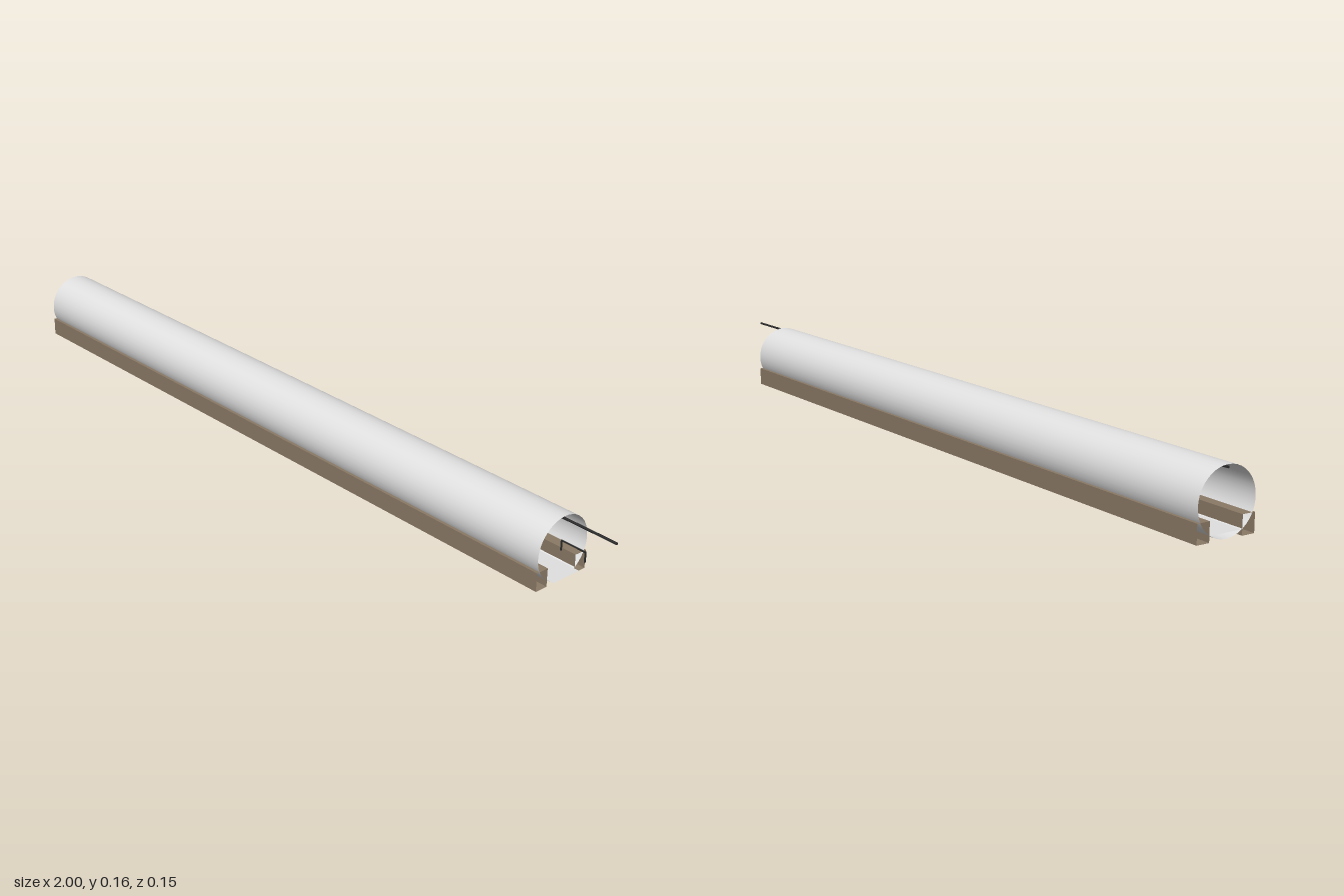
import * as THREE from 'three';

const LEFT = -1, RIGHT = 0.86, LENGTH = RIGHT - LEFT, MID = (LEFT + RIGHT) / 2;
const R = 0.077;

function material(name, color, side = THREE.DoubleSide) {
  const m = new THREE.MeshStandardMaterial({ color, side });
  m.name = name;
  return m;
}

export function createModel() {
  const group = new THREE.Group();
  const shellGrey = material('shell grey', 0xe0e0e0);
  const railBrown = material('rail brown', 0x8b7966);
  const metalDark = material('dark metal', 0x2c2c2c);

  const add = (name, geometry, mat, x, y, z) => {
    const mesh = new THREE.Mesh(geometry, mat);
    mesh.name = name;
    mesh.position.set(x, y, z);
    group.add(mesh);
    return mesh;
  };

  // open, paper-thin tube along x
  const tube = new THREE.CylinderGeometry(R, R, LENGTH, 40, 1, true).rotateZ(Math.PI / 2);
  add('tubeShell', tube, shellGrey, MID, R + 0.001, 0);

  // floor strip between the rails, a little longer than the tube
  const floor = new THREE.PlaneGeometry(0.875 - LEFT, 0.08).rotateX(-Math.PI / 2);
  add('floorStrip', floor, shellGrey, (0.875 + LEFT) / 2, 0.014, 0);

  // hollow rails, open at both ends
  const railHeight = 0.045, railDepth = 0.033;
  for (const side of [-1, 1]) {
    const box = new THREE.BoxGeometry(LENGTH, railHeight, railDepth);
    box.setIndex(Array.from(box.index.array).slice(12)); // drop both end faces
    box.clearGroups();
    add(side > 0 ? 'frontRail' : 'backRail', box, railBrown,
      MID, railHeight / 2, side * (R - railDepth / 2));
  }

  // wire under the crown of the tube, reaching past its end
  const wire = new THREE.CylinderGeometry(0.003, 0.003, 2, 8).rotateZ(Math.PI / 2);
  add('topWire', wire, metalDark, 0, 0.149, 0);

  // hooked bar at the open end
  const t = 0.003, z = -0.041;
  add('hookBar', new THREE.BoxGeometry(0.07, t, t), metalDark, 0.855, 0.0645, z);
  for (const x of [0.8215, 0.8885]) {
    add('hookLeg', new THREE.BoxGeometry(t, 0.025, t), metalDark, x, 0.0525, z);
  }

  return group;
}
